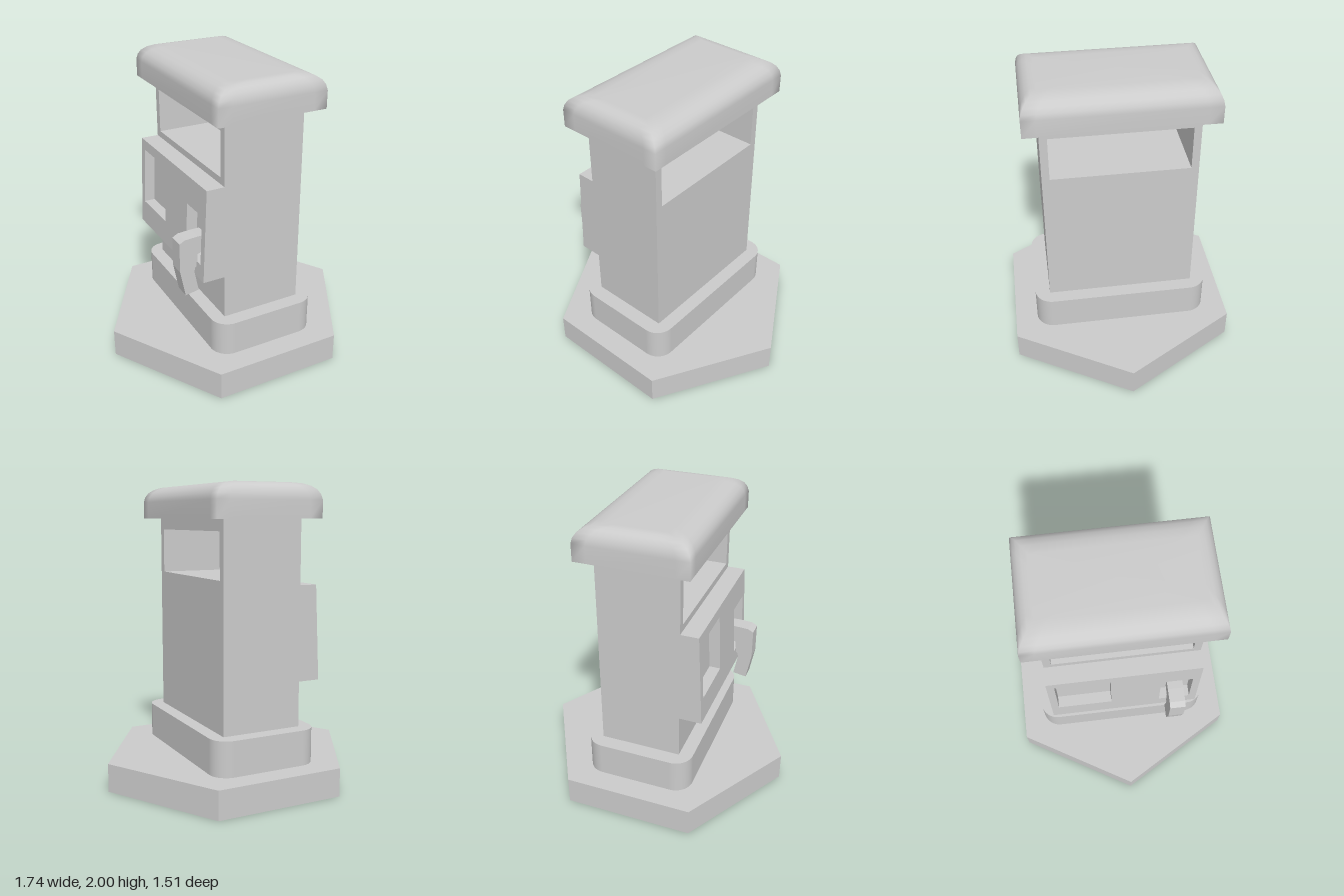
import * as THREE from 'three';

const material = new THREE.MeshStandardMaterial({ color: 0xcccccc });

function part(name, geometry) {
  const mesh = new THREE.Mesh(geometry, material);
  mesh.name = name;
  return mesh;
}

// Rectangle as a list of points, a = horizontal, b = vertical
const rect = (a0, a1, b0, b1) => [[a0, b0], [a1, b0], [a1, b1], [a0, b1]].map(([a, b]) => new THREE.Vector2(a, b));

function extrude(points, depth, holes = []) {
  const shape = new THREE.Shape(points);
  holes.forEach((h) => shape.holes.push(new THREE.Path(h)));
  return new THREE.ExtrudeGeometry(shape, { depth, bevelEnabled: false });
}

// Plate drawn in (z, y) growing towards -x; the outer face leans out at the foot
function leaningPlate(points, inset, holes) {
  const g = extrude(points, 1, holes).rotateY(-Math.PI / 2);
  const p = g.attributes.position;
  for (let i = 0; i < p.count; i++) {
    const lean = 0.395 + 0.03 * (1.355 - p.getY(i)) / 0.63;
    p.setX(i, p.getX(i) < -0.5 ? -lean + inset : -0.26);
  }
  g.computeVertexNormals();
  return g;
}

// Low plinth with rounded vertical corners
function plinthGeometry(hx, hz, r, y0, y1) {
  const s = new THREE.Shape();
  s.absarc(hx - r, hz - r, r, 0, Math.PI / 2);
  s.absarc(-hx + r, hz - r, r, Math.PI / 2, Math.PI);
  s.absarc(-hx + r, -hz + r, r, Math.PI, Math.PI * 1.5);
  s.absarc(hx - r, -hz + r, r, Math.PI * 1.5, Math.PI * 2);
  const g = new THREE.ExtrudeGeometry(s, { depth: y1 - y0, bevelEnabled: false, curveSegments: 10 });
  g.rotateX(-Math.PI / 2).translate(0, y0, 0);
  // Smooth normals on the rounded wall
  const p = g.attributes.position, n = g.attributes.normal;
  for (let i = 0; i < p.count; i++) {
    if (Math.abs(n.getY(i)) > 0.5) continue;
    const x = p.getX(i), z = p.getZ(i);
    const dx = Math.sign(x) * Math.max(0, Math.abs(x) - hx + r);
    const dz = Math.sign(z) * Math.max(0, Math.abs(z) - hz + r);
    const l = Math.hypot(dx, dz) || 1;
    n.setXYZ(i, dx / l, 0, dz / l);
  }
  return g;
}

// Pillow-shaped roof: stacked rectangular rings, [half x, half z, y]
function roofGeometry() {
  const rings = [
    [0.367, 0.6, 1.775], [0.367, 0.6, 1.89], [0.358, 0.593, 1.925], [0.338, 0.58, 1.955],
    [0.305, 0.558, 1.978], [0.26, 0.53, 1.993], [0.2, 0.49, 2],
  ];
  const pos = [], index = [], c = 0.09, n = 12;
  for (const [x, z, y] of rings) {
    const loop = [
      [x, z - c], [x, z], [x - c, z], [-x + c, z], [-x, z], [-x, z - c],
      [-x, -z + c], [-x, -z], [-x + c, -z], [x - c, -z], [x, -z], [x, -z + c],
    ];
    loop.forEach(([a, b]) => pos.push(a, y, b));
  }
  for (let r = 0; r < rings.length - 1; r++) {
    for (let i = 0; i < n; i++) {
      const a = r * n + i, b = r * n + (i + 1) % n;
      index.push(a, a + n, b, b, a + n, b + n);
    }
  }
  const top = (rings.length - 1) * n, centre = pos.length / 3;
  pos.push(0, 2, 0);
  for (let i = 0; i < n; i++) index.push(top + i, centre, top + (i + 1) % n);
  const g = new THREE.BufferGeometry();
  g.setAttribute('position', new THREE.Float32BufferAttribute(pos, 3));
  g.setIndex(index);
  g.computeVertexNormals();
  return g;
}

export function createModel() {
  const model = new THREE.Group();
  model.name = 'fuelPump';

  // Hexagonal ground slab, points towards left and right
  const slab = new THREE.CylinderGeometry(0.87, 0.87, 0.19, 6).toNonIndexed();
  slab.rotateY(Math.PI / 2).translate(0, 0.095, 0);
  slab.computeVertexNormals();
  model.add(part('groundSlab', slab));

  model.add(part('plinth', plinthGeometry(0.367, 0.6, 0.12, 0.19, 0.425)));

  // Cabinet with a window running right through it
  const cabinet = extrude(rect(-0.5, 0.5, 0.425, 1.775), 0.55, [rect(-0.45, 0.45, 1.4, 1.7)]);
  cabinet.rotateY(-Math.PI / 2).translate(0.275, 0, 0);
  model.add(part('cabinet', cabinet));

  // Roof with its flat underside
  const roof = new THREE.Group();
  roof.name = 'roof';
  const underside = new THREE.PlaneGeometry(0.734, 1.2).rotateX(Math.PI / 2).translate(0, 1.775, 0);
  roof.add(part('roofTop', roofGeometry()), part('roofUnderside', underside));
  model.add(roof);

  // Control panel: frame with a display recess and a nozzle recess, and their floor
  const panel = new THREE.Group();
  panel.name = 'controlPanel';
  const holes = [rect(-0.45, -0.09, 0.89, 1.285), rect(0.24, 0.45, 0.83, 1.165)];
  panel.add(part('panelFrame', leaningPlate(rect(-0.5, 0.5, 0.725, 1.355), 0, holes)));
  panel.add(part('recessFloor', leaningPlate(rect(-0.48, 0.48, 0.75, 1.33), 0.075)));
  model.add(panel);

  // Nozzle hanging in its recess
  const profile = [
    [-0.35, 1.005], [-0.41, 1.005], [-0.5, 1.0], [-0.537, 0.98], [-0.537, 0.78], [-0.503, 0.6],
    [-0.41, 0.615], [-0.438, 0.76], [-0.432, 0.785], [-0.415, 0.8], [-0.415, 0.88], [-0.35, 0.9],
  ].map(([x, y]) => new THREE.Vector2(x, y));
  model.add(part('nozzle', extrude(profile, 0.105).translate(0, 0, 0.293)));

  return model;
}
